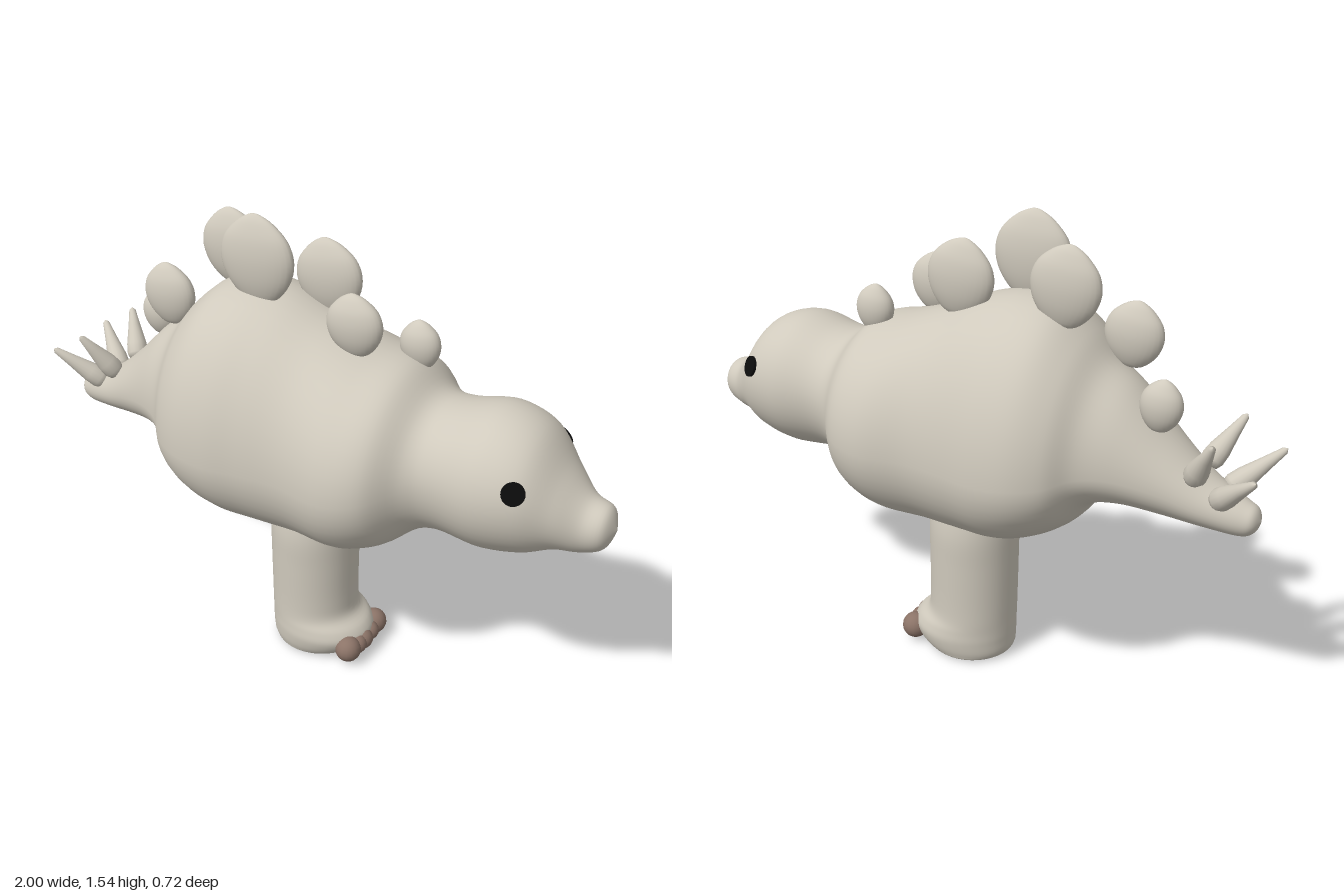
import * as THREE from 'three';
import { mergeVertices } from 'three/addons/utils/BufferGeometryUtils.js';

const V = (x, y, z) => new THREE.Vector3(x, y, z);

// Catmull-Rom blend through rows of numbers, u in 0..1
function sample(rows, u) {
  const n = rows.length - 1;
  const i = Math.min(Math.floor(u * n), n - 1);
  const t = u * n - i;
  const row = (k) => rows[Math.max(0, Math.min(n, k))];
  return rows[i].map((b, c) => {
    const a = row(i - 1)[c], d = row(i + 1)[c], e = row(i + 2)[c];
    return b + 0.5 * t * (d - a + t * (2 * a - 5 * b + 4 * d - e + t * (3 * (b - d) + e - a)));
  });
}

// Closed smooth skin over the rings of point(u, angle)
function loft(point, rings, sides) {
  const pos = [], index = [];
  for (let i = 0; i <= rings; i++) {
    for (let j = 0; j < sides; j++) {
      pos.push(...point(i / rings, (j / sides) * Math.PI * 2).toArray());
      if (i === rings) continue;
      const k = (j + 1) % sides;
      const a = i * sides + j, b = i * sides + k;
      index.push(a, a + sides, b, b, a + sides, b + sides);
    }
  }
  const raw = new THREE.BufferGeometry();
  raw.setAttribute('position', new THREE.Float32BufferAttribute(pos, 3));
  raw.setIndex(index);
  const g = mergeVertices(raw, 1e-5);
  g.computeVertexNormals();
  return g;
}

// Body sections from tail to nose: x, bottom, widest height, top, half width
const BODY = [
  [-0.985, 0.735, 0.735, 0.735, 0],
  [-0.97, 0.7, 0.735, 0.773, 0.04],
  [-0.93, 0.682, 0.737, 0.795, 0.06],
  [-0.82, 0.69, 0.765, 0.85, 0.098],
  [-0.7, 0.702, 0.81, 0.95, 0.14],
  [-0.58, 0.713, 0.84, 1.07, 0.19],
  [-0.49, 0.695, 0.84, 1.135, 0.24],
  [-0.42, 0.615, 0.82, 1.215, 0.31],
  [-0.33, 0.56, 0.81, 1.285, 0.352],
  [-0.22, 0.523, 0.8, 1.303, 0.36],
  [-0.1, 0.51, 0.8, 1.285, 0.342],
  [0.04, 0.508, 0.8, 1.23, 0.331],
  [0.2, 0.52, 0.8, 1.175, 0.356],
  [0.32, 0.562, 0.82, 1.145, 0.326],
  [0.41, 0.625, 0.85, 1.075, 0.237],
  [0.49, 0.642, 0.865, 1.07, 0.21],
  [0.63, 0.635, 0.865, 1.097, 0.226],
  [0.75, 0.655, 0.862, 1.058, 0.202],
  [0.84, 0.692, 0.825, 0.95, 0.143],
  [0.91, 0.697, 0.79, 0.88, 0.093],
  [0.974, 0.725, 0.79, 0.855, 0.064],
  [1.0, 0.79, 0.79, 0.79, 0],
];

function bodyPoint(u, a) {
  const [x, bottom, mid, top, w] = sample(BODY, u);
  const s = Math.sin(a), c = Math.cos(a);
  // fuller lower half where the trunk is wide
  const p = s < 0 ? 1 - 1.2 * Math.max(0, w - 0.23) : 1;
  return V(x, mid + s * (s > 0 ? top - mid : mid - bottom), Math.sign(c) * Math.abs(c) ** p * w);
}

// Leg sections from sole upward: y, back x, front x, half width
const LEG = [
  [0, -0.02, -0.02, 0],
  [0.003, -0.13, 0.1, 0.12],
  [0.02, -0.162, 0.16, 0.143],
  [0.07, -0.167, 0.195, 0.155],
  [0.11, -0.168, 0.18, 0.152],
  [0.15, -0.168, 0.138, 0.146],
  [0.22, -0.169, 0.13, 0.145],
  [0.36, -0.17, 0.13, 0.148],
  [0.48, -0.17, 0.13, 0.149],
  [0.6, -0.165, 0.125, 0.13],
];

function legPoint(u, a) {
  const [y, back, front, w] = sample(LEG, u);
  return V((back + front) / 2 - Math.sin(a) * (front - back) / 2, Math.max(0, y), Math.cos(a) * w);
}

export function createModel() {
  const group = new THREE.Group();
  const material = (name, color) => {
    const m = new THREE.MeshStandardMaterial({ color });
    m.name = name;
    return m;
  };
  const skin = material('stone beige', 0xd0cabd);
  const claw = material('toe brown', 0x8c7468);
  const black = material('eye black', 0x0c0c0c);
  const add = (name, geometry, mat) => {
    const m = new THREE.Mesh(geometry, mat);
    m.name = name;
    group.add(m);
    return m;
  };

  add('body', loft(bodyPoint, 126, 48), skin);
  add('leg', loft(legPoint, 45, 36), skin);

  // Toes across the front of the foot
  for (const [z, r] of [[-0.09, 0.045], [-0.035, 0.034], [0.015, 0.038], [0.09, 0.045], [0.05, 0.034]]) {
    const toe = add('toe', new THREE.SphereGeometry(r, 16, 12), claw);
    toe.position.set(Math.abs(z) > 0.08 ? 0.165 : 0.178, 0.055, z);
  }

  // Back plates: egg-shaped leaves with a soft point, flattened sideways
  const outline = new THREE.SplineCurve([
    [0, -1], [0.45, -0.88], [0.85, -0.48], [1, 0], [0.87, 0.45], [0.5, 0.8], [0.16, 0.97], [0, 1],
  ].map(([x, y]) => new THREE.Vector2(x, y)));
  const leaf = new THREE.LatheGeometry(outline.getPoints(28).map((p) => p.setX(Math.max(0, p.x))), 28);
  // x, centre y, z, half width, half height, tilt
  const plates = [
    [-0.53, 1.207, 0.062, 0.095, 0.105, 0.12],
    [-0.187, 1.397, 0.062, 0.13, 0.143, 0.05],
    [0.155, 1.26, 0.062, 0.094, 0.1, 0.1],
    [-0.682, 1.058, -0.068, 0.066, 0.082, 0.1],
    [-0.365, 1.36, -0.068, 0.115, 0.127, 0.12],
    [-0.01, 1.333, -0.068, 0.115, 0.124, 0.15],
    [0.31, 1.182, -0.068, 0.067, 0.08, 0.08],
  ];
  for (const [x, y, z, w, h, tilt] of plates) {
    const plate = add('backPlate', leaf, skin);
    plate.position.set(x, y, z);
    plate.scale.set(w, h, w > 0.08 ? 0.045 : 0.042);
    plate.rotation.z = tilt;
  }

  // Tail spikes: two mirrored pairs of blunt cones
  const spikeProfile = [[0, 0], [0.028, 0.01], [0.036, 0.12], [0.034, 0.3], [0.021, 0.65], [0.011, 0.95], [0, 1]];
  const spike = new THREE.LatheGeometry(spikeProfile.map(([r, y]) => new THREE.Vector2(r, y)), 16);
  const spikes = [
    [V(-0.86, 0.79, 0.045), V(-1.0, 0.92, 0.138)],
    [V(-0.79, 0.85, 0.06), V(-0.87, 1.0, 0.14)],
  ];
  for (const side of [1, -1]) {
    for (const [base, tip] of spikes) {
      const from = base.clone().setZ(base.z * side);
      const dir = tip.clone().setZ(tip.z * side).sub(from);
      const m = add('tailSpike', spike, skin);
      m.position.copy(from);
      m.scale.y = dir.length();
      m.quaternion.setFromUnitVectors(V(0, 1, 0), dir.normalize());
    }
  }

  // Eyes: thin discs lying on the head
  let u = 0.7;
  while (bodyPoint(u, 0).x < 0.745) u += 0.0005;
  const a = 0.37, e = 0.002;
  const spot = bodyPoint(u, a);
  const normal = bodyPoint(u + e, a).sub(spot).cross(bodyPoint(u, a + e).sub(spot)).normalize();
  for (const side of [1, -1]) {
    const flip = V(1, 1, side);
    const eye = add(side > 0 ? 'rightEye' : 'leftEye', new THREE.CylinderGeometry(0.035, 0.035, 0.009, 24), black);
    eye.position.copy(spot).addScaledVector(normal, 0.001).multiply(flip);
    eye.quaternion.setFromUnitVectors(V(0, 1, 0), normal.clone().multiply(flip));
  }
  return group;
}
